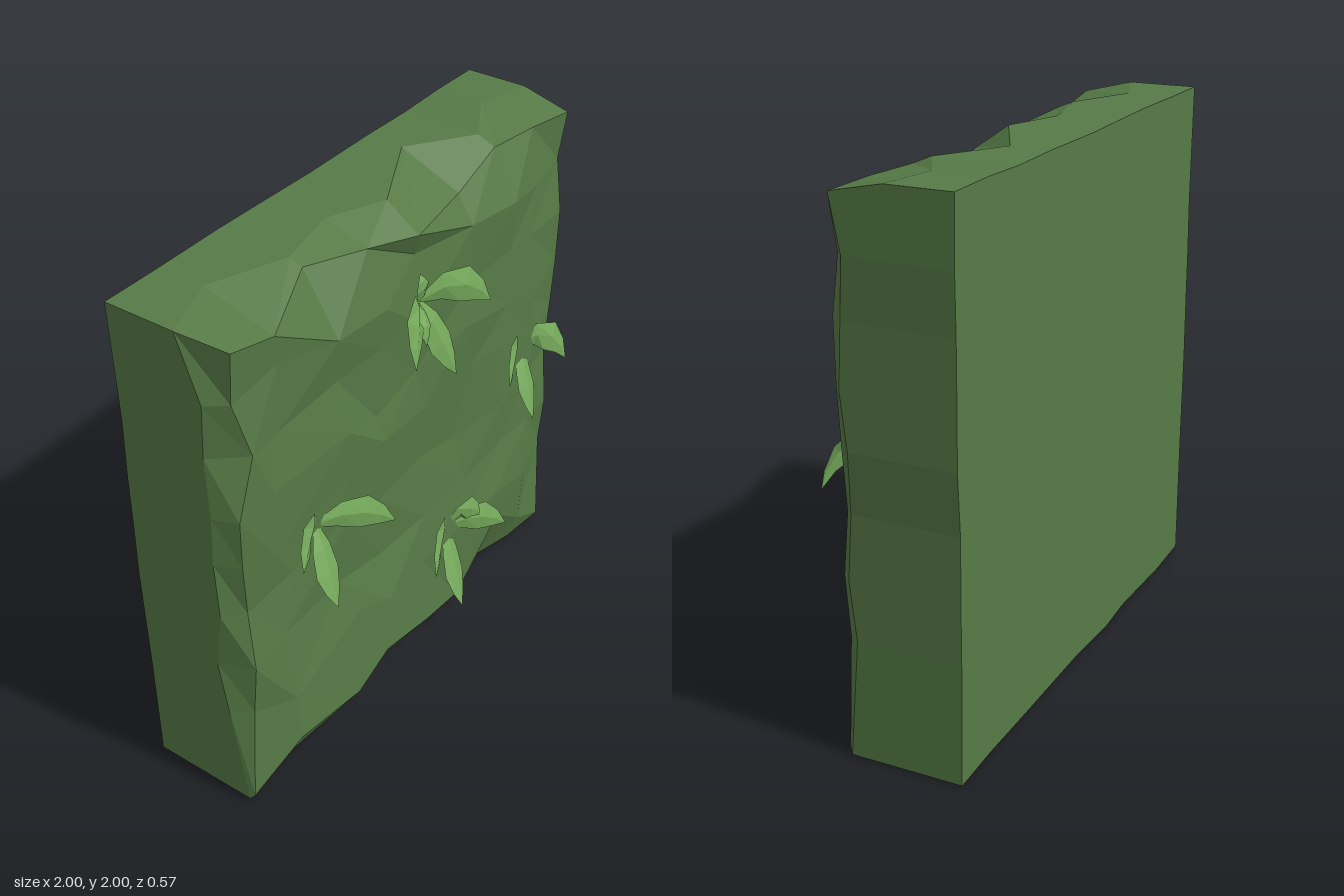
import * as THREE from 'three';

const N = 8, BACK = -0.29;

// Repeatable noise in -1..1
function noise(i, j, k = 0) {
  const s = Math.sin(i * 12.99 + j * 78.23 + k * 37.72) * 43758.55;
  return (s - Math.floor(s)) * 2 - 1;
}

function facetGeometry(triangles) {
  const geo = new THREE.BufferGeometry();
  geo.setFromPoints(triangles.flat());
  geo.computeVertexNormals();
  return geo;
}

// Chipped front rim, [x, y, z], left to right and bottom to top
const bottomRim = [[-0.98, 0.04, 0.15], [-0.77, 0.2, 0.21], [-0.38, 0.08, 0.18], [-0.22, 0.19, 0.2],
  [0.08, 0.1, 0.18], [0.33, 0.04, 0.16], [0.57, 0.31, 0.19], [0.78, 0.14, 0.17], [0.98, 0.02, 0.15]];
const topRim = [[-0.95, 1.96, 0.15], [-0.76, 1.92, 0.16], [-0.48, 1.98, 0.05], [-0.22, 1.94, 0.11],
  [0, 1.9, 0.16], [0.33, 1.89, 0.1], [0.57, 1.96, 0.09], [0.78, 1.96, 0.12], [0.98, 1.95, 0.15]];
const leftX = [-0.98, -0.94, -0.94, -0.93, -0.95, -0.96, -0.89, -0.94, -0.95];
const sideZ = [0.15, 0.14, 0.16, 0.13, 0.14, 0.15, 0.16, 0.13, 0.15];
const rowY = [0.03, 0.44, 0.66, 0.9, 1.12, 1.32, 1.55, 1.76, 1.95];
const topShoulderZ = [-0.02, -0.11, 0, -0.06, 0.03, -0.14, 0.02, -0.1, -0.05];

// Front face: uneven grid of large facets
function frontPoint(i, j) {
  if (j === 0) return new THREE.Vector3(...bottomRim[i]);
  if (j === N) return new THREE.Vector3(...topRim[i]);
  if (i === 0) return new THREE.Vector3(leftX[j], rowY[j], sideZ[j]);
  if (i === N) return new THREE.Vector3(0.965 + 0.01 * noise(i, j), rowY[j], sideZ[j]);
  const x = THREE.MathUtils.lerp(bottomRim[i][0], topRim[i][0], j / N);
  const bulge = 0.025 * Math.abs(x) + (j === 1 ? 0.025 : 0);
  return new THREE.Vector3(x + 0.045 * noise(i, j, 1), rowY[j] + 0.055 * noise(i, j, 2),
    0.145 + bulge + 0.024 * noise(i, j, 3));
}

// Outer edge behind the rim, where the chips end and the flat sides begin
function shoulderPoint(i, j, rim) {
  const p = rim.clone();
  const wobble = 0.008 * (1 + noise(i, j, 4));
  if (i === 0) { p.x = -1 + wobble; p.z = 0.05 + 0.02 * noise(i, j, 5); }
  if (i === N) { p.x = 1 - wobble; p.z = 0.11 + 0.02 * noise(i, j, 5); }
  if (j === 0) { p.y = i === 3 ? 0 : wobble; p.z = 0.1 + 0.04 * noise(i, j, 5); }
  if (j === N) { p.y = i === 2 ? 2 : 2 - wobble; p.z = topShoulderZ[i]; }
  return p;
}

function createSlab(material) {
  const grid = [], front = [], sides = [], back = [];
  for (let i = 0; i <= N; i++) {
    grid.push([]);
    for (let j = 0; j <= N; j++) grid[i].push(frontPoint(i, j));
  }
  for (let i = 0; i < N; i++) {
    for (let j = 0; j < N; j++) {
      const a = grid[i][j], b = grid[i + 1][j], c = grid[i + 1][j + 1], d = grid[i][j + 1];
      if (noise(i, j, 6) > 0) front.push([a, b, c], [a, c, d]);
      else front.push([a, b, d], [b, c, d]);
    }
  }
  // Walk the outline anticlockwise and bridge rim, shoulder and back edge
  const loop = [];
  for (let k = 0; k < N; k++) loop.push([k, 0]);
  for (let k = 0; k < N; k++) loop.push([N, k]);
  for (let k = N; k > 0; k--) loop.push([k, N]);
  for (let k = N; k > 0; k--) loop.push([0, k]);
  const rings = loop.map(([i, j]) => {
    const rim = grid[i][j], shoulder = shoulderPoint(i, j, rim);
    const rear = shoulder.clone();
    rear.z = BACK;
    return [rim, shoulder, rear];
  });
  const centre = new THREE.Vector3(0, 1, BACK);
  rings.forEach((r, k) => {
    const next = rings[(k + 1) % rings.length];
    for (let s = 0; s < 2; s++) {
      sides.push([r[s], r[s + 1], next[s]], [next[s], r[s + 1], next[s + 1]]);
    }
    back.push([centre, next[2], r[2]]);
  });
  const slab = new THREE.Group();
  slab.name = 'mossSlab';
  for (const [name, tris] of [['frontFace', front], ['sideFaces', sides], ['backFace', back]]) {
    const mesh = new THREE.Mesh(facetGeometry(tris), material);
    mesh.name = name;
    slab.add(mesh);
  }
  return slab;
}

// Folded leaf: raised midrib with both halves dropping away, pointed at each end
function createLeaf(base, bend, tip, width, material) {
  const curve = new THREE.QuadraticBezierCurve3(base, bend, tip);
  const sections = [[0, 0.2], [0.3, 0.8], [0.6, 1], [0.82, 0.6], [1, 0]].map(([t, w]) => {
    const mid = curve.getPoint(t), dir = curve.getTangent(t);
    const across = new THREE.Vector3(-dir.y, dir.x, 0).normalize().multiplyScalar(width * w);
    const drop = new THREE.Vector3(0, 0, -0.25 * width * w);
    return [mid.clone().sub(across).add(drop), mid, mid.clone().add(across).add(drop)];
  });
  const tris = [];
  for (let k = 0; k < sections.length - 1; k++) {
    const p = sections[k], q = sections[k + 1];
    for (let s = 0; s < 2; s++) {
      tris.push([p[s], q[s], p[s + 1]]);
      if (k < sections.length - 2 || s === 0) tris.push([p[s + 1], q[s], q[s + 1]]);
    }
  }
  const leaf = new THREE.Mesh(facetGeometry(tris), material);
  leaf.name = 'leaf';
  return leaf;
}

// Each sprig: centre, then leaves as [bend x, bend y, tip x, tip y, tip z, half width]
const sprigs = [
  { at: [0.02, 1.63], leaves: [[-0.07, 1.7, -0.15, 1.48, 0.26, 0.065], [0.06, 1.5, 0.12, 1.31, 0.25, 0.058],
    [0.2, 1.7, 0.33, 1.51, 0.25, 0.065], [-0.02, 1.7, -0.02, 1.77, 0.18, 0.035],
    [-0.02, 1.6, -0.03, 1.5, 0.22, 0.035]] },
  { at: [-0.58, 1.05], leaves: [[-0.68, 1.17, -0.79, 1.04, 0.26, 0.06], [-0.6, 0.92, -0.62, 0.76, 0.27, 0.06],
    [-0.42, 1.07, -0.25, 0.89, 0.25, 0.06]] },
  { at: [0.72, 1.06], leaves: [[0.6, 1.17, 0.47, 1.05, 0.27, 0.06], [0.71, 0.93, 0.67, 0.78, 0.27, 0.058],
    [0.87, 1.13, 0.92, 0.93, 0.26, 0.06]] },
  { at: [0.24, 0.46], leaves: [[0.12, 0.6, -0.02, 0.45, 0.28, 0.06], [0.22, 0.3, 0.18, 0.15, 0.28, 0.06],
    [0.38, 0.49, 0.52, 0.34, 0.26, 0.06], [0.33, 0.58, 0.38, 0.46, 0.22, 0.05]] },
];

export function createModel() {
  const moss = new THREE.MeshStandardMaterial({ color: 0x567a46, flatShading: true });
  moss.name = 'mossGreen';
  const leafGreen = new THREE.MeshStandardMaterial({ color: 0x74a85a, flatShading: true, side: THREE.DoubleSide });
  leafGreen.name = 'leafGreen';

  const model = new THREE.Group();
  model.name = 'mossyWallBlock';
  model.add(createSlab(moss));

  for (const { at, leaves } of sprigs) {
    const sprig = new THREE.Group();
    sprig.name = 'leafSprig';
    for (const [bx, by, tx, ty, tz, w] of leaves) {
      sprig.add(createLeaf(new THREE.Vector3(at[0], at[1], 0.15), new THREE.Vector3(bx, by, 0.225),
        new THREE.Vector3(tx, ty, tz), w, leafGreen));
    }
    model.add(sprig);
  }
  return model;
}
